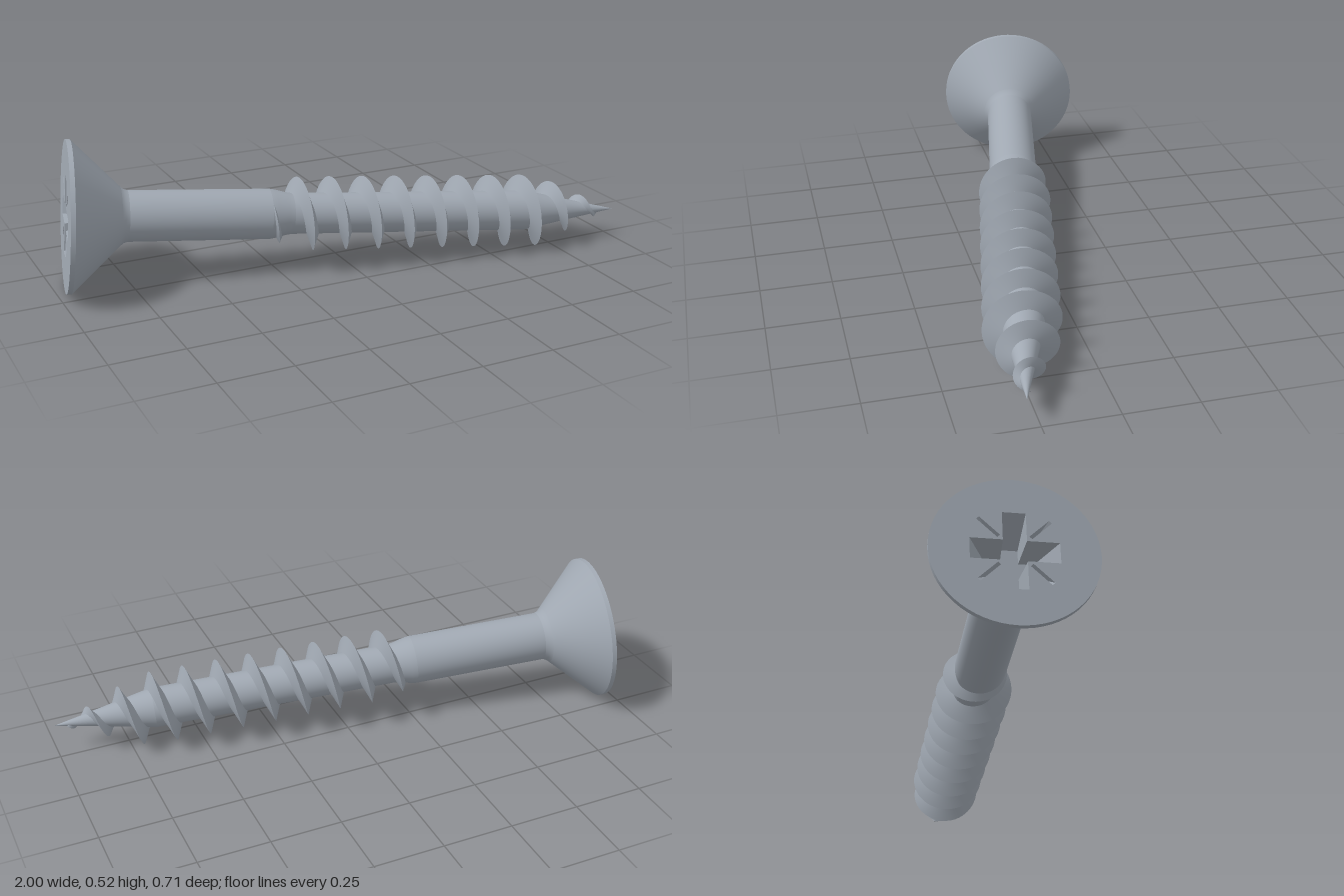
import * as THREE from 'three';

// Distances are measured along the screw axis, from the head face (0) to the tip.
const LENGTH = 1.99, HEAD_R = 0.2577, SHANK_R = 0.087, CORE_R = 0.071, THREAD_R = 0.1285;
const PITCH = 0.119, THREAD_START = 0.69, THREAD_END = 1.95;
const { lerp, smoothstep } = THREE.MathUtils;

const steel = new THREE.MeshStandardMaterial({ color: 0xa0a8b2 });
steel.name = 'steel grey';

function add(parent, name, geometry) {
  const mesh = new THREE.Mesh(geometry, steel);
  mesh.name = name;
  parent.add(mesh);
  return mesh;
}

// Turned section around the screw axis; profile is [radius, distance] pairs
function turned(parent, name, profile) {
  const geo = new THREE.LatheGeometry(profile.map(([r, t]) => new THREE.Vector2(r, t)), 64);
  add(parent, name, geo.rotateZ(-Math.PI / 2));
}

function coreRadius(t) {
  if (t < 0.77) return lerp(SHANK_R, CORE_R, smoothstep(t, 0.69, 0.77));
  return t < 1.64 ? CORE_R : CORE_R * (LENGTH - t) / (LENGTH - 1.64);
}

function crestRadius(t) {
  if (t < 0.79) return lerp(SHANK_R, THREAD_R, (t - THREAD_START) / 0.1);
  return t < 1.68 ? THREAD_R : lerp(THREAD_R, 0.014, (t - 1.68) / (THREAD_END - 1.68));
}

// Sharp right-handed helical thread: two flanks swept along the core
function threadGeometry() {
  const steps = 640, positions = [], index = [];
  for (let flank = 0; flank < 2; flank++) {
    const base = positions.length / 3;
    for (let i = 0; i <= steps; i++) {
      const t = lerp(THREAD_START, THREAD_END, i / steps);
      const a = (t - 1.031) / PITCH * Math.PI * 2;
      const crest = crestRadius(t);
      const half = 0.006 + 0.3 * Math.max(0, crest - coreRadius(t));
      const foot = s => [t + s * half, coreRadius(t + s * half) * 0.97];
      const pair = flank === 0 ? [foot(-1), [t, crest]] : [[t, crest], foot(1)];
      for (const [x, r] of pair) positions.push(x, r * Math.cos(a), r * Math.sin(a));
      if (i < steps) {
        const p = base + i * 2;
        index.push(p, p + 2, p + 1, p + 1, p + 2, p + 3);
      }
    }
  }
  const geo = new THREE.BufferGeometry();
  geo.setAttribute('position', new THREE.Float32BufferAttribute(positions, 3));
  geo.setIndex(index);
  geo.computeVertexNormals();
  return geo;
}

// Recess with sloping walls between a counter-clockwise opening and its floor
function addPocket(parent, name, top, bottom, depth) {
  const positions = [];
  const put = (p, z) => positions.push(p.x, p.y, z);
  top.forEach((a, i) => {
    const j = (i + 1) % top.length, b = top[j], c = bottom[j], d = bottom[i];
    put(a, 0); put(b, 0); put(d, -depth);
    put(b, 0); put(c, -depth); put(d, -depth);
  });
  const walls = new THREE.BufferGeometry();
  walls.setAttribute('position', new THREE.Float32BufferAttribute(positions, 3));
  walls.computeVertexNormals();
  add(parent, name + ' walls', walls);
  add(parent, name + ' floor', new THREE.ShapeGeometry(new THREE.Shape(bottom)).translate(0, 0, -depth));
}

const turn = (points, angle) =>
  points.map(([x, y]) => new THREE.Vector2(x, y).rotateAround(new THREE.Vector2(), angle));

// Four-armed cross outline: w is half the arm width, l the arm length
function cross(w, l) {
  const arm = [[l, -w], [l, w], [w, w]];
  return [0, 1, 2, 3].flatMap(k => turn(arm, k * Math.PI / 2));
}

const slot = (w, r0, r1, angle) => turn([[r0, -w], [r1, -w], [r1, w], [r0, w]], angle);

export function createModel() {
  const model = new THREE.Group();
  model.name = 'countersunk screw';
  const screw = new THREE.Group();
  screw.name = 'screw body';
  model.add(screw);

  // Head, shank and core
  turned(screw, 'head rim', [[HEAD_R, 0], [HEAD_R, 0.016]]);
  turned(screw, 'head cone', [[HEAD_R, 0.016], [0.177, 0.1], [0.1, 0.18]]);
  turned(screw, 'neck', [[0.1, 0.18], [0.091, 0.191], [SHANK_R, 0.205]]);
  turned(screw, 'shank', [[SHANK_R, 0.205], [SHANK_R, 0.69]]);
  turned(screw, 'shank taper', [[SHANK_R, 0.69], [0.084, 0.71], [0.074, 0.75], [CORE_R, 0.77]]);
  turned(screw, 'threaded core', [[CORE_R, 0.77], [CORE_R, 1.64]]);
  turned(screw, 'pointed tip', [[CORE_R, 1.64], [CORE_R / 2, (1.64 + LENGTH) / 2], [0.0005, LENGTH]]);
  add(screw, 'thread', threadGeometry());

  // Head face with cross recess and four diagonal slots
  const face = new THREE.Group();
  face.name = 'head face';
  face.rotation.y = -Math.PI / 2;
  screw.add(face);
  const disc = new THREE.Shape().absarc(0, 0, HEAD_R, 0, Math.PI * 2);
  const opening = cross(0.036, 0.135);
  disc.holes.push(new THREE.Path(opening));
  addPocket(face, 'cross recess', opening, cross(0.028, 0.075), 0.11);
  for (let k = 0; k < 4; k++) {
    const angle = Math.PI / 4 + k * Math.PI / 2;
    const mouth = slot(0.006, 0.068, 0.155, angle);
    disc.holes.push(new THREE.Path(mouth));
    addPocket(face, 'diagonal slot', mouth, slot(0.002, 0.07, 0.1, angle), 0.04);
  }
  add(face, 'face plate', new THREE.ShapeGeometry(disc, 32));

  // Lay the screw along its slanted resting axis
  const axis = new THREE.Vector3(1.945, -0.153, 0.4).normalize();
  const side = new THREE.Vector3().crossVectors(axis, new THREE.Vector3(0, 1, 0)).normalize();
  const up = new THREE.Vector3().crossVectors(side, axis);
  screw.quaternion.setFromRotationMatrix(new THREE.Matrix4().makeBasis(axis, up, side));
  screw.position.set(-0.945, 0.258, -0.107);
  return model;
}
